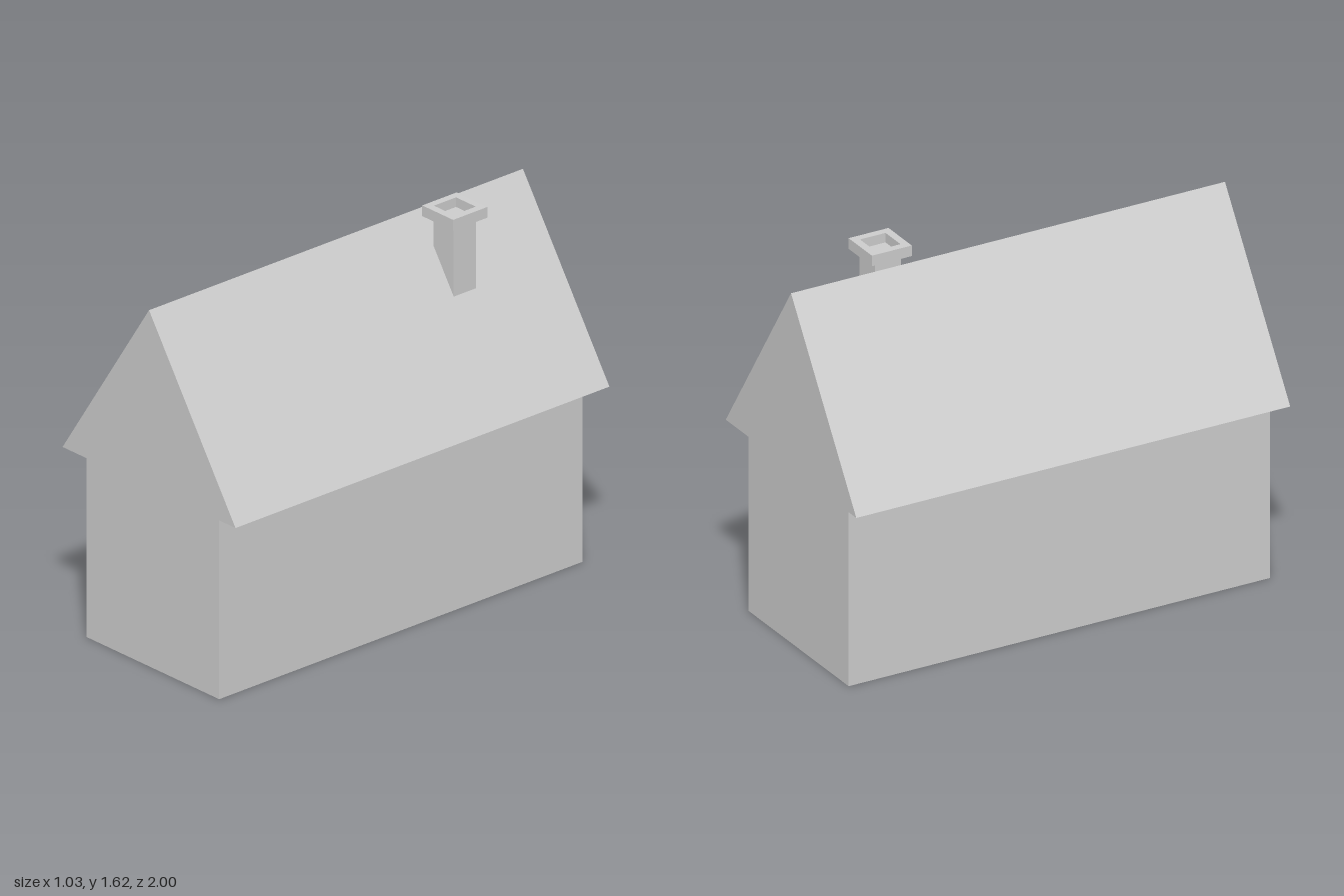
import * as THREE from 'three';

const wallMat = new THREE.MeshStandardMaterial({ color: 0xcccccc });
const paneMat = new THREE.MeshStandardMaterial({ color: 0xf0f0f0, side: THREE.DoubleSide });

// House extents
const X0 = -0.4, X1 = 0.39, BACK = -0.968, FRONT = 0.975, EPS = 0.004;

function add(parent, name, geometry, x = 0, y = 0, z = 0, material = wallMat) {
  const mesh = new THREE.Mesh(geometry, material);
  mesh.name = name;
  mesh.position.set(x, y, z);
  parent.add(mesh);
  return mesh;
}

function rect(w, h, cx = 0, cy = 0) {
  return new THREE.Shape([[-1, -1], [1, -1], [1, 1], [-1, 1]].map(
    ([a, b]) => new THREE.Vector2(cx + a * w / 2, cy + b * h / 2)));
}

// Four panes separated by the wall showing through as glazing bars
function paneWindow(name, width, bottom, bar, top, arched) {
  const group = new THREE.Group();
  group.name = name;
  const gap = 0.007, half = width / 2;
  const shapes = [];
  for (const s of [-1, 1]) {
    const cx = s * (half + gap) / 2;
    shapes.push(rect(half - gap, bar - gap - bottom, cx, (bottom + bar - gap) / 2));
    if (!arched) {
      shapes.push(rect(half - gap, top - bar - gap, cx, (top + bar + gap) / 2));
      continue;
    }
    // Quarter-round upper pane
    const spring = top - half;
    const pts = [new THREE.Vector2(s * gap, bar + gap), new THREE.Vector2(s * half, bar + gap)];
    const end = Math.acos(gap / half);
    for (let i = 0; i <= 12; i++) {
      const a = end * i / 12;
      pts.push(new THREE.Vector2(s * half * Math.cos(a), spring + half * Math.sin(a)));
    }
    shapes.push(new THREE.Shape(pts));
  }
  shapes.forEach(s => add(group, 'windowPane', new THREE.ShapeGeometry(s), 0, 0, 0, paneMat));
  return group;
}

export function createModel() {
  const house = new THREE.Group();
  house.name = 'house';

  // Walls
  add(house, 'walls', new THREE.BoxGeometry(X1 - X0, 0.793, FRONT - BACK),
    (X0 + X1) / 2, 0.3965, (FRONT + BACK) / 2);

  // Gabled roof, a solid triangular prism
  const gable = new THREE.Shape([
    new THREE.Vector2(-0.515, 0.802), new THREE.Vector2(0.515, 0.802), new THREE.Vector2(0, 1.58)]);
  add(house, 'roof', new THREE.ExtrudeGeometry(gable, { depth: 2, bevelEnabled: false }), 0, 0, -1);

  // Arched windows and oval gable window at both ends
  for (const end of [1, -1]) {
    for (const x of [-0.187, 0.156]) {
      const w = paneWindow('archedWindow', 0.217, 0.307, 0.47, 0.63, true);
      w.position.set(x, 0, end > 0 ? FRONT + EPS : BACK - EPS);
      if (end < 0) w.rotation.y = Math.PI;
      house.add(w);
    }
    const oval = add(house, 'gableWindow', new THREE.CircleGeometry(1, 40),
      -0.005, 1.085, end * (1 + EPS / 2), paneMat);
    oval.scale.set(0.129, 0.15, 1);
    if (end < 0) oval.rotation.y = Math.PI;
  }

  // Square windows along both sides
  for (const side of [1, -1]) {
    for (const z of [0.333, -0.393]) {
      const w = paneWindow('sideWindow', 0.304, 0.315, 0.469, 0.62, false);
      w.position.set(side > 0 ? X1 + EPS : X0 - EPS, 0, z);
      w.rotation.y = side * Math.PI / 2;
      house.add(w);
    }
  }

  // Thin panel standing just off the back wall
  const panel = add(house, 'backPanel', new THREE.PlaneGeometry(0.63, 0.345),
    -0.02, 0.457, BACK - 0.022, paneMat);
  panel.rotation.y = Math.PI;

  // Chimney: shaft and open square cap
  const chimney = new THREE.Group();
  chimney.name = 'chimney';
  chimney.position.set(0.149, 0, -0.502);
  add(chimney, 'chimneyShaft', new THREE.BoxGeometry(0.12, 0.485, 0.12), 0, 1.3375, 0);
  const capShape = rect(0.184, 0.184);
  capShape.holes.push(rect(0.118, 0.118));
  const cap = add(chimney, 'chimneyCap',
    new THREE.ExtrudeGeometry(capShape, { depth: 0.047, bevelEnabled: false }), 0, 1.575, 0);
  cap.rotation.x = -Math.PI / 2;
  house.add(chimney);

  return house;
}
